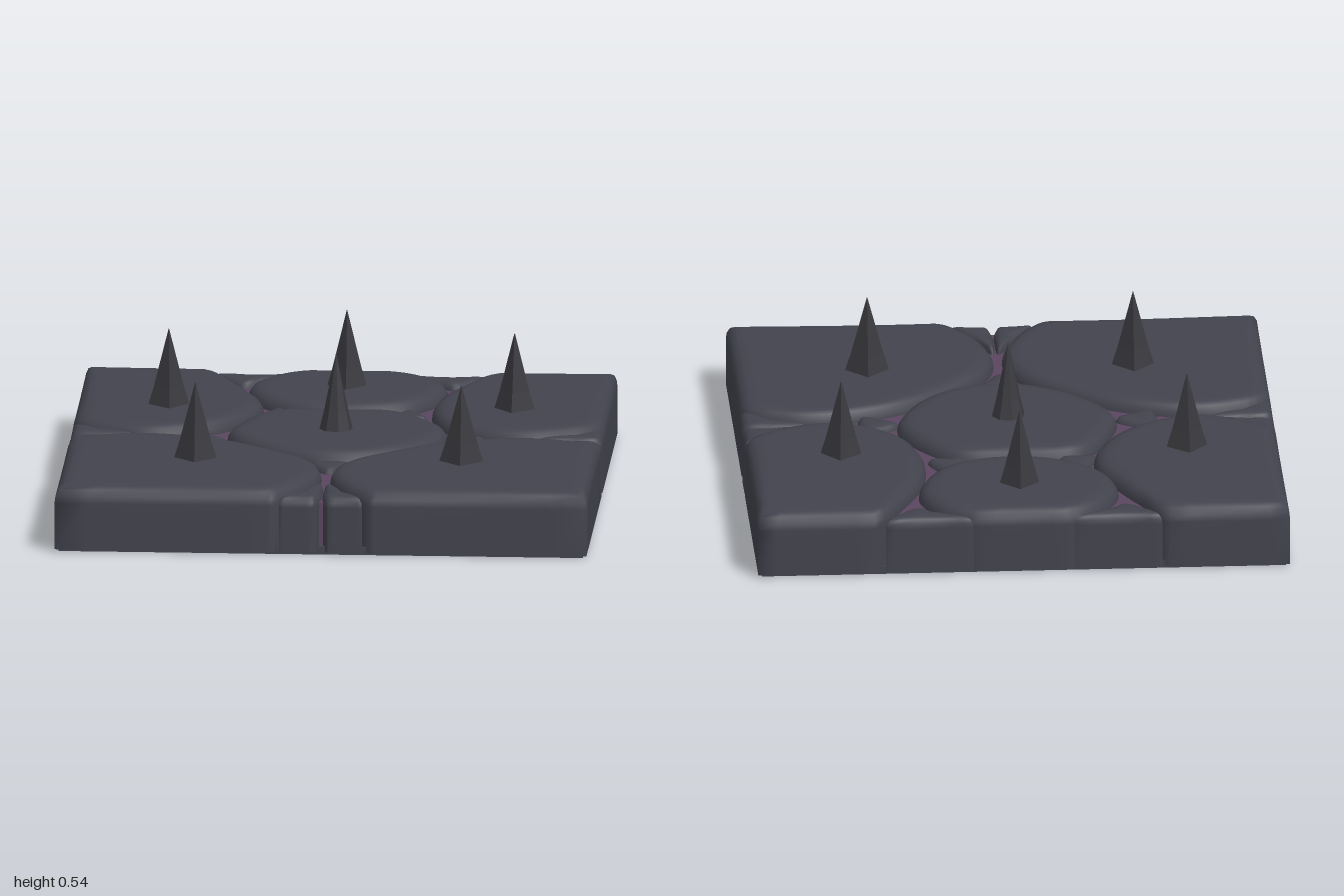
import * as THREE from 'three';

const stone = new THREE.MeshStandardMaterial({ color: 0x43434e });
stone.name = 'slate stone';
const mortar = new THREE.MeshStandardMaterial({ color: 0x5c4560 });
mortar.name = 'purple mortar';
const iron = new THREE.MeshStandardMaterial({ color: 0x3a3a3f });
iron.name = 'dark iron';

const BOTTOM = 0.01;
const clamp = (v) => THREE.MathUtils.clamp(v, -1, 1);
const mirror = (pts) => pts.map(([x, z]) => [-x, z]);

// Cobble: smooth outline trimmed to the tile square, lofted upward with a soft rim
function cobbleGeometry(outline, top, rim) {
  const curve = new THREE.CatmullRomCurve3(outline.map(([x, z]) => new THREE.Vector3(x, 0, z)), true);
  const n = outline.length * 5;
  let ring = [];
  for (let i = 0; i < n; i++) {
    const p = curve.getPoint(i / n);
    ring.push(new THREE.Vector2(clamp(p.x), clamp(p.z)));
  }
  if (THREE.ShapeUtils.area(ring) > 0) ring.reverse();
  const c = ring.reduce((s, p) => s.add(p), new THREE.Vector2()).divideScalar(n);

  // Each level: [inset towards the centre, height]
  const levels = [
    [0, BOTTOM], [0, BOTTOM], [0, top - rim * 1.4], [rim * 0.1, top - rim * 0.8],
    [rim * 0.45, top - rim * 0.3], [rim, top - rim * 0.08], [rim * 1.8, top],
  ];
  const pos = [], index = [];
  for (const [inset, y] of levels) {
    for (const p of ring) {
      const q = p.clone().lerp(c, Math.min(0.9, inset / p.distanceTo(c)));
      pos.push(q.x, y, q.y);
    }
  }
  const base = pos.length / 3;
  pos.push(c.x, BOTTOM, c.y, c.x, top, c.y);
  const last = (levels.length - 1) * n;
  for (let i = 0; i < n; i++) {
    const j = (i + 1) % n;
    index.push(base, j, i);
    for (let k = 1; k < levels.length - 1; k++) {
      const a = k * n + i, b = k * n + j;
      index.push(a, b, b + n, a, b + n, a + n);
    }
    index.push(last + i, last + j, base + 1);
  }
  const g = new THREE.BufferGeometry();
  g.setAttribute('position', new THREE.Float32BufferAttribute(pos, 3));
  g.setIndex(index);
  g.computeVertexNormals();
  return g;
}

// Rounded triangle for the small filler stones
function pebble(x, z, r, turn) {
  const pts = [];
  for (let i = 0; i < 6; i++) {
    const a = turn + (i * Math.PI) / 3;
    const d = i % 2 ? r * 0.68 : r;
    pts.push([x + Math.cos(a) * d, z + Math.sin(a) * d]);
  }
  return pts;
}

// Spike: faceted, slightly flared at the foot
function spikeGeometry(sides, radius) {
  const profile = [[radius, -0.04], [radius * 0.96, 0], [radius * 0.7, 0.07], [0.001, 0.29]];
  const lathe = new THREE.LatheGeometry(profile.map(([x, y]) => new THREE.Vector2(x, y)), sides);
  const g = lathe.toNonIndexed();
  g.computeVertexNormals();
  return g;
}

export function createModel() {
  const model = new THREE.Group();
  model.name = 'spikedFloorTile';
  const add = (name, geometry, material, x = 0, y = 0, z = 0) => {
    const mesh = new THREE.Mesh(geometry, material);
    mesh.name = name;
    mesh.position.set(x, y, z);
    model.add(mesh);
    return mesh;
  };

  // Underside plate and mortar bed
  add('underside', new THREE.BoxGeometry(1.97, 0.03, 1.97), stone, 0, 0.015, 0);
  add('mortarBed', new THREE.BoxGeometry(1.92, 0.17, 1.92), mortar, 0, 0.11, 0);

  // Large cobbles
  const large = {
    backRightStone: [[-1, -1], [-0.55, -1], [-0.44, -0.83], [-0.36, -0.66], [-0.3, -0.5], [-0.31, -0.34],
      [-0.41, -0.16], [-0.56, -0.04], [-0.72, 0], [-0.86, -0.05], [-1, -0.17]],
    backLeftStone: [[1, -1], [0.56, -1], [0.43, -0.8], [0.35, -0.58], [0.34, -0.36],
      [0.41, -0.16], [0.56, -0.03], [0.72, 0], [0.86, -0.05], [1, -0.17]],
    backStone: [[-0.17, -1], [0.17, -1], [0.31, -0.91], [0.38, -0.76], [0.35, -0.6], [0.25, -0.46],
      [0.1, -0.395], [-0.1, -0.4], [-0.26, -0.49], [-0.35, -0.62], [-0.37, -0.76], [-0.3, -0.91]],
    centreStone: [[-0.22, -0.37], [0, -0.38], [0.21, -0.365], [0.33, -0.25], [0.42, -0.05], [0.37, 0.13],
      [0.25, 0.28], [0.1, 0.36], [-0.06, 0.36], [-0.2, 0.29], [-0.34, 0.15], [-0.41, 0], [-0.38, -0.14], [-0.31, -0.3]],
  };
  const front = [[-1, 0.17], [-0.85, 0.075], [-0.7, 0.055], [-0.5, 0.1], [-0.34, 0.18], [-0.16, 0.34],
    [-0.05, 0.48], [-0.015, 0.65], [-0.06, 0.82], [-0.14, 0.95], [-0.2, 1], [-1, 1]];
  large.frontRightStone = front;
  large.frontLeftStone = mirror(front);
  for (const [name, outline] of Object.entries(large)) add(name, cobbleGeometry(outline, 0.25, 0.045), stone);

  // Paired wedge stones at the middle of the front and both sides
  const lobe = [[-0.155, 1], [-0.13, 0.95], [-0.06, 0.83], [-0.01, 0.75], [0, 0.84], [-0.005, 0.95], [-0.03, 1]];
  const wedges = [lobe, mirror(lobe)];
  for (const wedge of wedges) {
    add('frontWedge', cobbleGeometry(wedge, 0.225, 0.03), stone);
    for (const side of [-1, 1]) {
      add('sideWedge', cobbleGeometry(wedge.map(([x, z]) => [z * side, x]), 0.225, 0.03), stone);
    }
  }

  // Filler stones along the back edge
  const backFiller = [[-0.52, -1], [-0.46, -0.91], [-0.4, -0.86], [-0.33, -0.9], [-0.25, -0.96], [-0.19, -1]];
  for (const outline of [backFiller, mirror(backFiller)]) {
    add('backFiller', cobbleGeometry(outline, 0.225, 0.03), stone);
  }

  // Pebbles in the joints: x, z, radius, turn
  const pebbles = [[-0.24, -0.4, 0.085, 0.5], [0.25, -0.4, 0.085, 0.55], [-0.5, 0.03, 0.095, 0],
    [0.5, 0.02, 0.095, Math.PI], [0, 0.425, 0.09, Math.PI / 2]];
  for (const [x, z, r, turn] of pebbles) {
    add('jointPebble', cobbleGeometry(pebble(x, z, r, turn), 0.22, 0.025), stone);
  }

  // Spikes: x, z, sides, radius, turn
  const spikes = [[-0.65, -0.37, 4, 0.08, 0.1], [0.65, -0.37, 4, 0.08, -0.1], [0, -0.71, 4, 0.077, 0],
    [0, -0.01, 8, 0.066, 0.2], [-0.5, 0.49, 4, 0.083, 0], [0.5, 0.49, 4, 0.086, 0]];
  for (const [x, z, sides, radius, turn] of spikes) {
    add('spike', spikeGeometry(sides, radius), iron, x, 0.25, z).rotation.y = turn;
  }
  return model;
}
